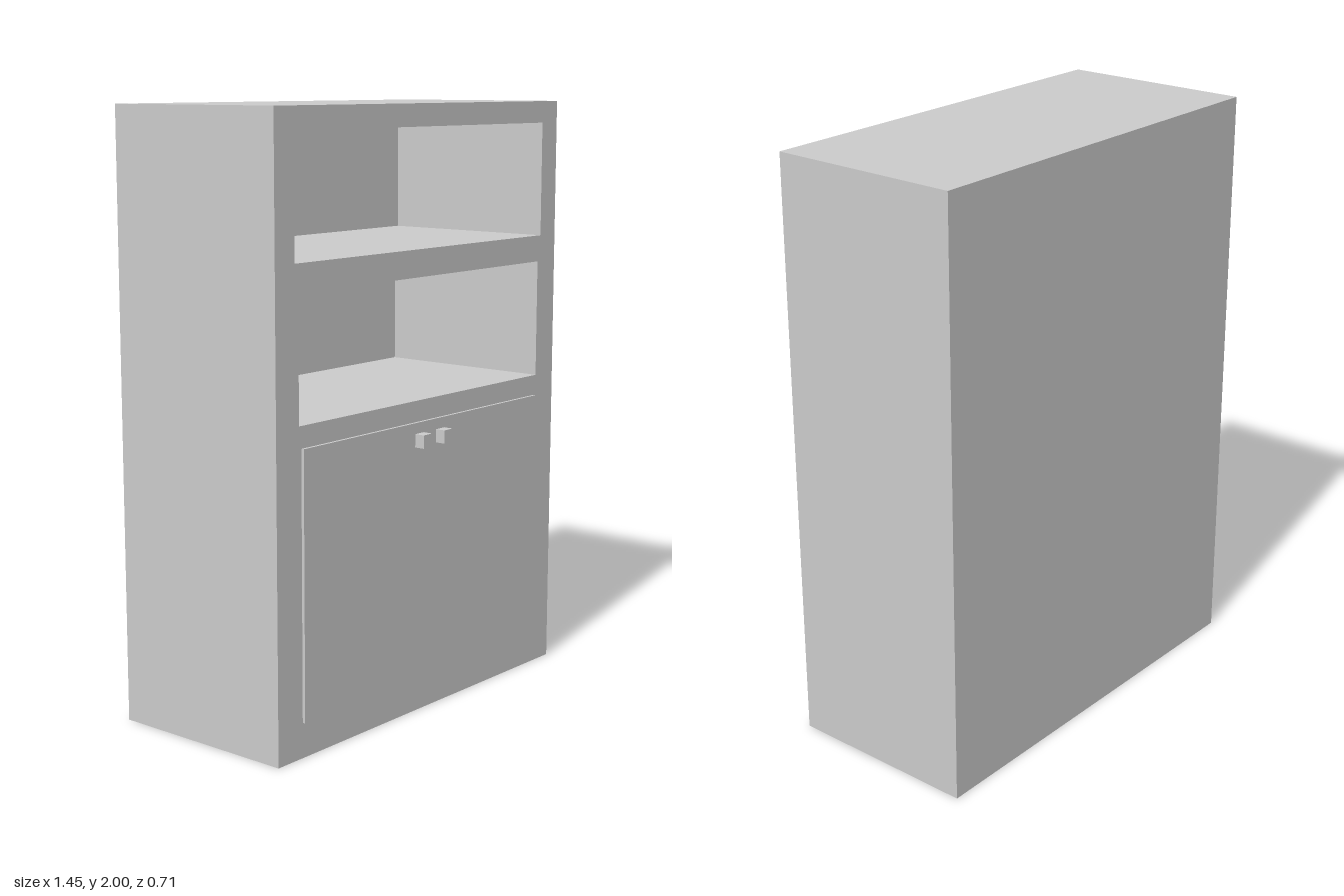
import * as THREE from 'three';

const material = new THREE.MeshStandardMaterial({ color: 0xcccccc, flatShading: true });

const FRONT = 0.31, BACK = -0.355, NICHE_BACK = -0.325;

// Trace a rectangle onto a shape or hole path
function rect(path, x0, y0, x1, y1) {
  path.moveTo(x0, y0);
  path.lineTo(x1, y0);
  path.lineTo(x1, y1);
  path.lineTo(x0, y1);
  path.closePath();
  return path;
}

function addBox(group, name, size, position) {
  const mesh = new THREE.Mesh(new THREE.BoxGeometry(...size), material);
  mesh.name = name;
  mesh.position.set(...position);
  group.add(mesh);
}

export function createModel() {
  const group = new THREE.Group();
  group.name = 'cabinet';

  // Carcass with two open shelf niches
  const outline = rect(new THREE.Shape(), -0.727, 0, 0.727, 2);
  outline.holes.push(
    rect(new THREE.Path(), -0.64, 1.54, 0.64, 1.927),
    rect(new THREE.Path(), -0.625, 1.05, 0.625, 1.45)
  );
  const carcass = new THREE.Mesh(
    new THREE.ExtrudeGeometry(outline, { depth: FRONT - NICHE_BACK, bevelEnabled: false }),
    material
  );
  carcass.name = 'carcass';
  carcass.position.z = NICHE_BACK;
  group.add(carcass);

  // Back panel closing the niches
  addBox(group, 'backPanel', [1.454, 2, NICHE_BACK - BACK], [0, 1, (NICHE_BACK + BACK) / 2]);

  // Thin raised door front
  addBox(group, 'doorPanel', [1.23, 0.865, 0.01], [0, 0.5475, FRONT + 0.005]);

  // Pair of square knobs
  for (const [name, x] of [['rightKnob', -0.05], ['leftKnob', 0.06]]) {
    addBox(group, name, [0.044, 0.044, 0.035], [x, 0.922, FRONT + 0.0275]);
  }

  return group;
}
